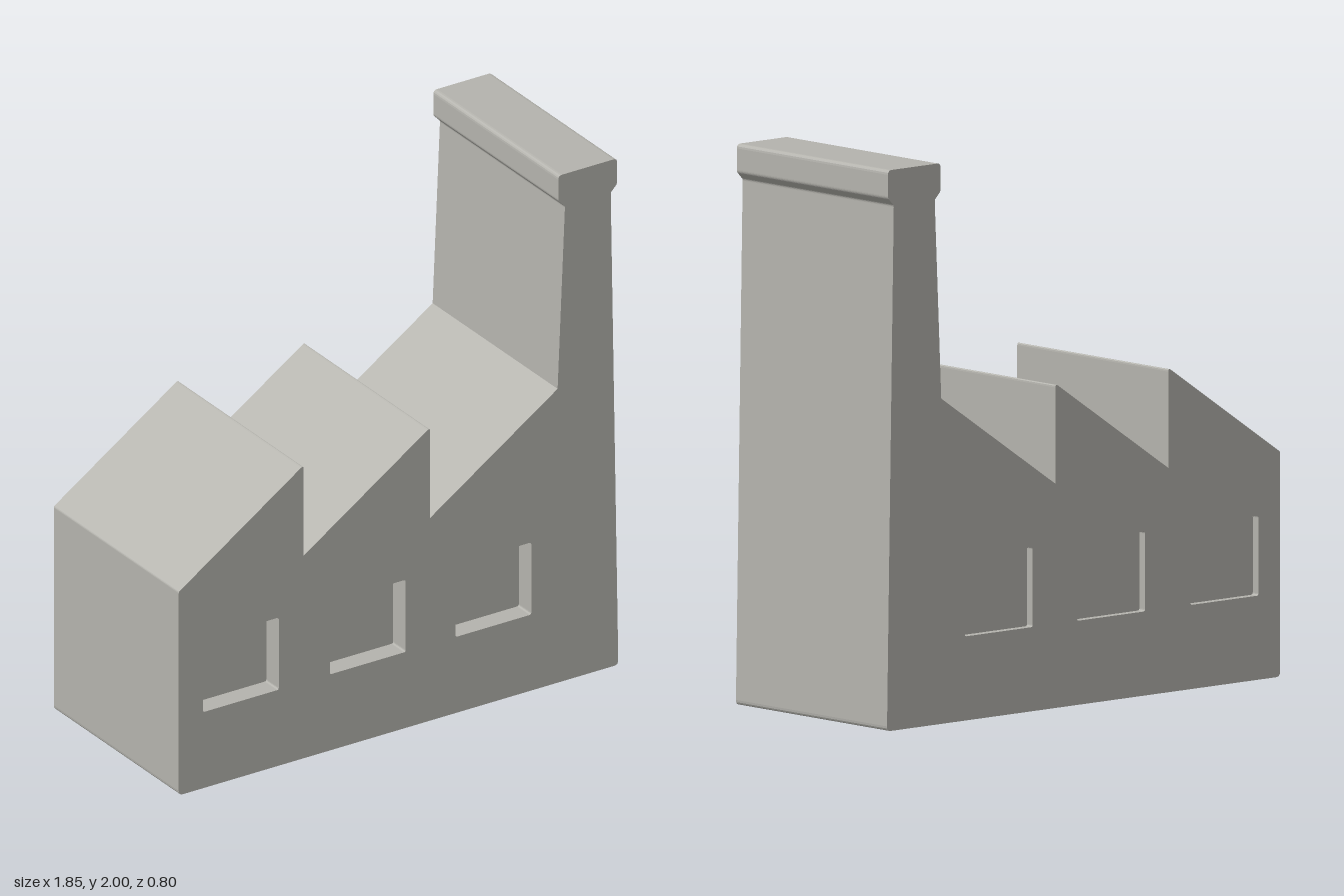
import * as THREE from 'three';

const DEPTH = 0.8;
const WINDOW = { w: 0.32, h: 0.285, y: 0.4425, xs: [-0.665, -0.13, 0.4] };
const FRONT_RECESS = 0.08;
const BACK_RECESS = 0.03;

// Closed outline from [x, y, cornerRadius] points, each corner softened
function softOutline(path, points) {
  const n = points.length;
  points.forEach(([x, y, r], i) => {
    const towards = ([px, py]) => {
      const len = Math.hypot(px - x, py - y);
      return [x + ((px - x) / len) * r, y + ((py - y) / len) * r];
    };
    const a = towards(points[(i + n - 1) % n]);
    const b = towards(points[(i + 1) % n]);
    if (i === 0) path.moveTo(...a);
    else path.lineTo(...a);
    if (r > 0) path.quadraticCurveTo(x, y, ...b);
  });
  path.closePath();
  return path;
}

export function createModel() {
  const concrete = new THREE.MeshStandardMaterial({ color: 0xb4b3ad });
  concrete.name = 'concrete grey';
  const model = new THREE.Group();
  model.name = 'factory';

  // Sawtooth roof and tapered chimney in one silhouette
  const outline = softOutline(new THREE.Shape(), [
    [-0.927, 0, 0.018],
    [0.927, 0, 0.018],
    [0.895, 1.872, 0.006],
    [0.922, 1.9, 0.008],
    [0.922, 2, 0.016],
    [0.674, 2, 0.016],
    [0.674, 1.9, 0.008],
    [0.702, 1.872, 0.006],
    [0.671, 1.16, 0],
    [0.133, 0.8, 0],
    [0.133, 1.157, 0.014],
    [-0.4, 0.8, 0],
    [-0.4, 1.157, 0.014],
    [-0.927, 0.803, 0.006],
  ]);

  // Window openings
  const { w, h, y, xs } = WINDOW;
  for (const x of xs) {
    outline.holes.push(softOutline(new THREE.Path(), [
      [x - w / 2, y - h / 2, 0.008],
      [x - w / 2, y + h / 2, 0.008],
      [x + w / 2, y + h / 2, 0.008],
      [x + w / 2, y - h / 2, 0.008],
    ]));
  }

  const body = new THREE.Mesh(
    new THREE.ExtrudeGeometry(outline, { depth: DEPTH, bevelEnabled: false, curveSegments: 4 })
      .translate(0, 0, -DEPTH / 2),
    concrete,
  );
  body.name = 'factoryBody';
  model.add(body);

  // Recessed window panes: deep on the front, shallow on the back
  const pane = new THREE.PlaneGeometry(w, h);
  for (const x of xs) {
    const front = new THREE.Mesh(pane, concrete);
    front.name = 'frontWindow';
    front.position.set(x, y, DEPTH / 2 - FRONT_RECESS);
    const back = new THREE.Mesh(pane, concrete);
    back.name = 'backWindow';
    back.position.set(x, y, -DEPTH / 2 + BACK_RECESS);
    back.rotation.y = Math.PI;
    model.add(front, back);
  }
  return model;
}
